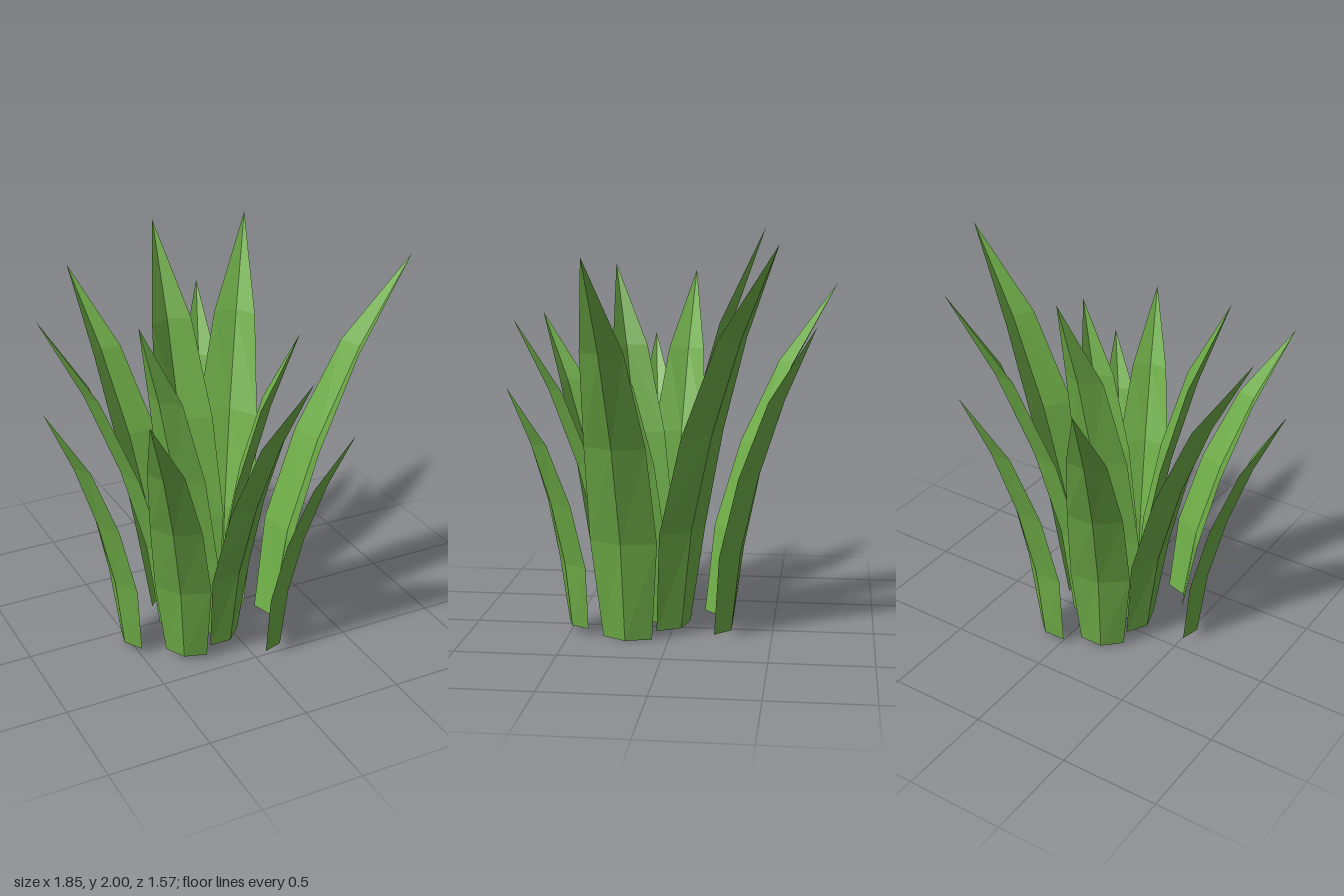
import * as THREE from 'three';

// Each blade: base of the midrib [x, y, z], tip [x, y, z], greatest half width
const BLADES = [
  [[-0.55, 0.04, 0.14], [-0.93, 1.40, 0.20], 0.13],
  [[-0.31, 0.03, 0.035], [-0.86, 1.75, -0.03], 0.15],
  [[-0.33, 0.03, 0.37], [-0.67, 1.53, 0.78], 0.14],
  [[-0.20, 0.02, 0.17], [-0.53, 1.80, 0.36], 0.155],
  [[-0.19, 0.015, -0.22], [-0.42, 1.71, -0.79], 0.15],
  [[-0.10, 0.035, -0.01], [-0.10, 2.00, -0.44], 0.17],
  [[0.09, 0.03, -0.05], [0.45, 1.94, -0.53], 0.167],
  [[0.10, 0.03, -0.30], [0.26, 1.55, -0.70], 0.14],
  [[-0.06, 0.03, 0.34], [0.12, 1.57, 0.77], 0.14],
  [[0.00, 0.03, 0.16], [0.29, 1.62, 0.34], 0.145],
  [[0.14, 0.04, 0.49], [0.36, 1.26, 0.75], 0.125],
  [[0.25, 0.005, 0.21], [0.92, 1.90, 0.29], 0.167],
];

const WIDTH = [0.74, 1, 0.9, 0.62, 0]; // share of half width, base to tip
const FOLD = [0.31, 0.34, 0.36, 0.32, 0]; // how far the edges fold inwards

// A V-folded, outward-curving leaf of four segments ending in a point
function bladeGeometry(base, tip, halfWidth) {
  const b = new THREE.Vector3(...base);
  const lean = new THREE.Vector3(tip[0] - base[0], 0, tip[2] - base[2]);
  const out = lean.clone().normalize();
  const side = new THREE.Vector3(out.z, 0, -out.x);
  const rise = tip[1] - base[1];
  const rings = WIDTH.map((w, i) => {
    const t = i / 4;
    const mid = b.clone().addScaledVector(lean, t ** 1.6);
    mid.y += rise * (1.055 * t - 0.055 * t ** 3);
    const edge = (s) => mid.clone()
      .addScaledVector(side, s * w * halfWidth)
      .addScaledVector(out, -FOLD[i] * halfWidth);
    return [edge(-1), mid, edge(1)];
  });
  const points = [];
  for (let i = 0; i < 4; i++) {
    for (let k = 0; k < 2; k++) {
      const [a, c] = [rings[i][k], rings[i][k + 1]];
      const [d, e] = [rings[i + 1][k], rings[i + 1][k + 1]];
      points.push(a, c, e);
      if (i < 3) points.push(a, e, d);
    }
  }
  const geometry = new THREE.BufferGeometry().setFromPoints(points);
  geometry.computeVertexNormals();
  return geometry;
}

export function createModel() {
  const group = new THREE.Group();
  group.name = 'grassTuft';
  const green = new THREE.MeshStandardMaterial({
    color: 0x6fae48, flatShading: true, side: THREE.DoubleSide,
  });
  green.name = 'leafGreen';
  BLADES.forEach(([base, tip, halfWidth], i) => {
    const blade = new THREE.Mesh(bladeGeometry(base, tip, halfWidth), green);
    blade.name = `blade${i + 1}`;
    group.add(blade);
  });
  return group;
}
